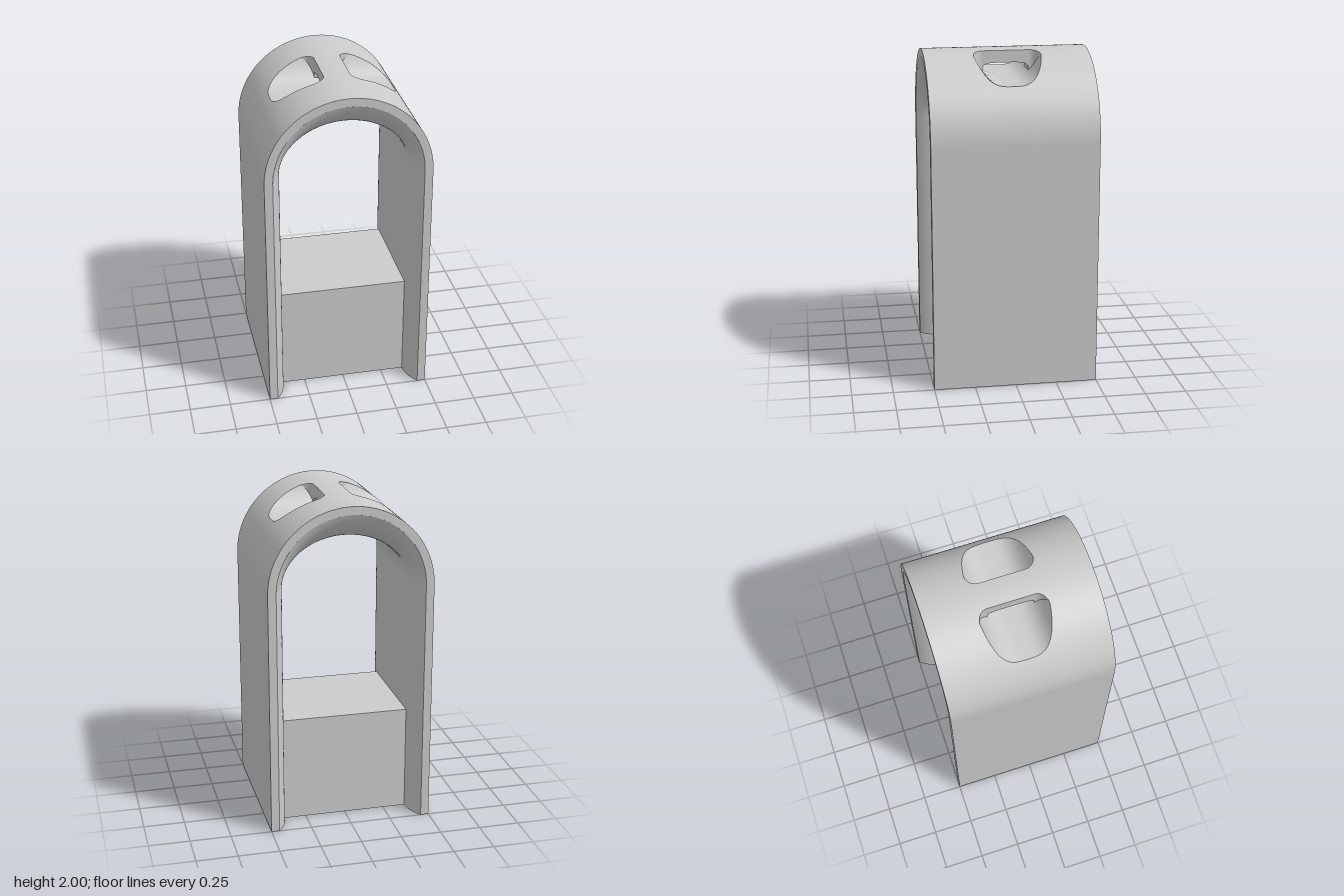
import * as THREE from 'three';

const material = new THREE.MeshStandardMaterial({ color: 0xcccccc, side: THREE.DoubleSide });
const SPRING = 1.5, R = 0.5, BAR = 0.08, REACH = 0.3774, THROAT = 0.14;

// Grid surface from fn(u, v) -> [x, y, z]; it faces du x dv.
function surface(nu, nv, fn) {
  const pos = [], idx = [];
  for (let i = 0; i <= nu; i++) for (let j = 0; j <= nv; j++) pos.push(...fn(i / nu, j / nv));
  for (let i = 0; i < nu; i++) for (let j = 0; j < nv; j++) {
    const a = i * (nv + 1) + j, b = a + nv + 1;
    idx.push(a, b, b + 1, a, b + 1, a + 1);
  }
  const g = new THREE.BufferGeometry();
  g.setAttribute('position', new THREE.Float32BufferAttribute(pos, 3));
  g.setIndex(idx);
  g.computeVertexNormals();
  return g;
}

// Exact cylinder normals, so the roof pieces shade as one
function roundNormals(g) {
  const p = g.attributes.position, n = g.attributes.normal;
  for (let i = 0; i < p.count; i++) n.setXYZ(i, p.getX(i) / R, (p.getY(i) - SPRING) / R, 0);
  return g;
}

const lerp = THREE.MathUtils.lerp;
const ease = (u) => (1 - Math.cos(Math.PI * u)) / 2;
const roofY = (x) => SPRING + Math.sqrt(R * R - x * x);

// Hand hole: scooped floor height, and half width of the opening at x
const floorY = (z) => 1.828 + 0.15 * Math.abs(z / 0.205) ** 3.4;
const ceilY = (z) => {
  const base = floorY(THROAT);
  return base + (1.92 - base) * Math.max(0, 1 - (z / THROAT) ** 4) ** 0.25;
};
function halfWidth(x) {
  const w = 0.205 * (Math.max(0, roofY(x) - 1.828) / 0.15) ** (1 / 3.4);
  const t = Math.min(1, (x - BAR) / 0.08);
  return Math.min(w, THROAT + 0.065 * Math.sqrt(Math.max(0, 1 - (1 - t) ** 2)));
}
const pocketX = (u) => lerp(BAR, REACH, ease(u));

// Inward swell of the lining: convex arc of given depth over a span from each end
function swell(z, depth, span) {
  const d = Math.max(0, Math.abs(z) - (0.5 - span));
  const r = (span * span + depth * depth) / (2 * depth);
  return depth - (r - Math.sqrt(r * r - d * d));
}
// Depth stations, denser in the curved ends
const stationZ = (v) => { const t = 2 * v - 1; return 0.5 * Math.sign(t) * Math.abs(t) ** 0.7; };

function lining(u, v) {
  const z = -stationZ(v);
  const a = 0.45 - swell(z, 0.06, 0.16);
  if (u < 0.1) return [a, SPRING * u * 10, z];
  if (u > 0.9) return [-a, SPRING * (1 - u) * 10, z];
  const th = Math.PI * (u - 0.1) / 0.8, s = Math.sin(th);
  const b = 0.45 - swell(z, 0.17, 0.16 + 0.09 * s);
  const aa = 0.45 - swell(z, 0.06, 0.16 + 0.09 * s);
  return [aa * Math.cos(th), SPRING + b * s, z];
}

export function createModel() {
  const group = new THREE.Group();
  const add = (name, geometry) => {
    const m = new THREE.Mesh(geometry, material);
    m.name = name;
    group.add(m);
    return m;
  };
  // Each part and its twin, turned half a revolution
  const addPair = (name, geometry) => {
    add(name, geometry);
    add(name, geometry).rotation.y = Math.PI;
  };

  // Outer shell: side walls, lower roof, roof strips around the hand holes
  addPair('sideWall', surface(1, 1, (u, v) => [R, SPRING * u, v - 0.5]));
  const thEnd = Math.acos(REACH / R);
  addPair('lowerRoof', roundNormals(surface(24, 1, (u, v) =>
    [R * Math.cos(thEnd * u), SPRING + R * Math.sin(thEnd * u), v - 0.5])));
  for (const s of [1, -1]) {
    addPair('roofStrip', roundNormals(surface(48, 1, (u, v) => {
      const x = pocketX(1 - u), w = halfWidth(x);
      return [x, roofY(x), s > 0 ? lerp(w, 0.5, v) : lerp(-0.5, -w, v)];
    })));
  }
  add('roofRidge', roundNormals(surface(10, 1, (u, v) => {
    const x = lerp(BAR, -BAR, u);
    return [x, roofY(x), v - 0.5];
  })));

  // Hand holes: scooped floor and rounded end walls
  addPair('handHoleFloor', surface(48, 32, (u, v) => {
    const x = pocketX(u), z = halfWidth(x) * Math.cos(Math.PI * v);
    return [x, Math.min(floorY(z), roofY(x)), z];
  }));
  for (const s of [1, -1]) {
    addPair('handHoleEnd', surface(20, 1, (u, v) => {
      const x = BAR + 0.1 * u * u, w = halfWidth(x);
      const t = s > 0 ? 1 - v : v;
      return [x, lerp(Math.min(floorY(w), roofY(x)), roofY(x), t), s * w];
    }));
  }

  // Grip bar with the passage beneath it
  const throatZ = (t) => THROAT * Math.cos(Math.PI * t);
  add('passageFloor', surface(1, 32, (u, v) => {
    const z = throatZ(v);
    return [lerp(-BAR, BAR, u), floorY(z), z];
  }));
  add('gripUnderside', surface(1, 32, (u, v) => {
    const z = -throatZ(v);
    return [lerp(-BAR, BAR, u), ceilY(z), z];
  }));
  addPair('gripSide', surface(32, 1, (u, v) => {
    const z = throatZ(u);
    return [BAR, lerp(ceilY(z), roofY(BAR), v), z];
  }));

  // Inner lining, swelling inwards between the two openings
  add('lining', surface(80, 60, lining));

  // Flat rim of each opening
  const rim = new THREE.Shape();
  rim.moveTo(R, 0).lineTo(R, SPRING);
  rim.absarc(0, SPRING, R, 0, Math.PI, false);
  rim.lineTo(-R, 0).lineTo(-0.45, 0).lineTo(-0.45, SPRING);
  rim.absarc(0, SPRING, 0.45, Math.PI, 0, true);
  rim.lineTo(0.45, 0);
  addPair('openingRim', new THREE.ShapeGeometry(rim, 64).translate(0, 0, 0.5));

  // Undersides of the walls
  addPair('wallFoot', surface(1, 60, (u, v) => {
    const z = stationZ(v);
    return [lerp(0.45 - swell(z, 0.06, 0.16), R, u), 0, z];
  }));

  // Solid block between the walls
  add('block', new THREE.BoxGeometry(0.78, 0.655, 0.68).translate(0, 0.3275, 0));

  return group;
}
